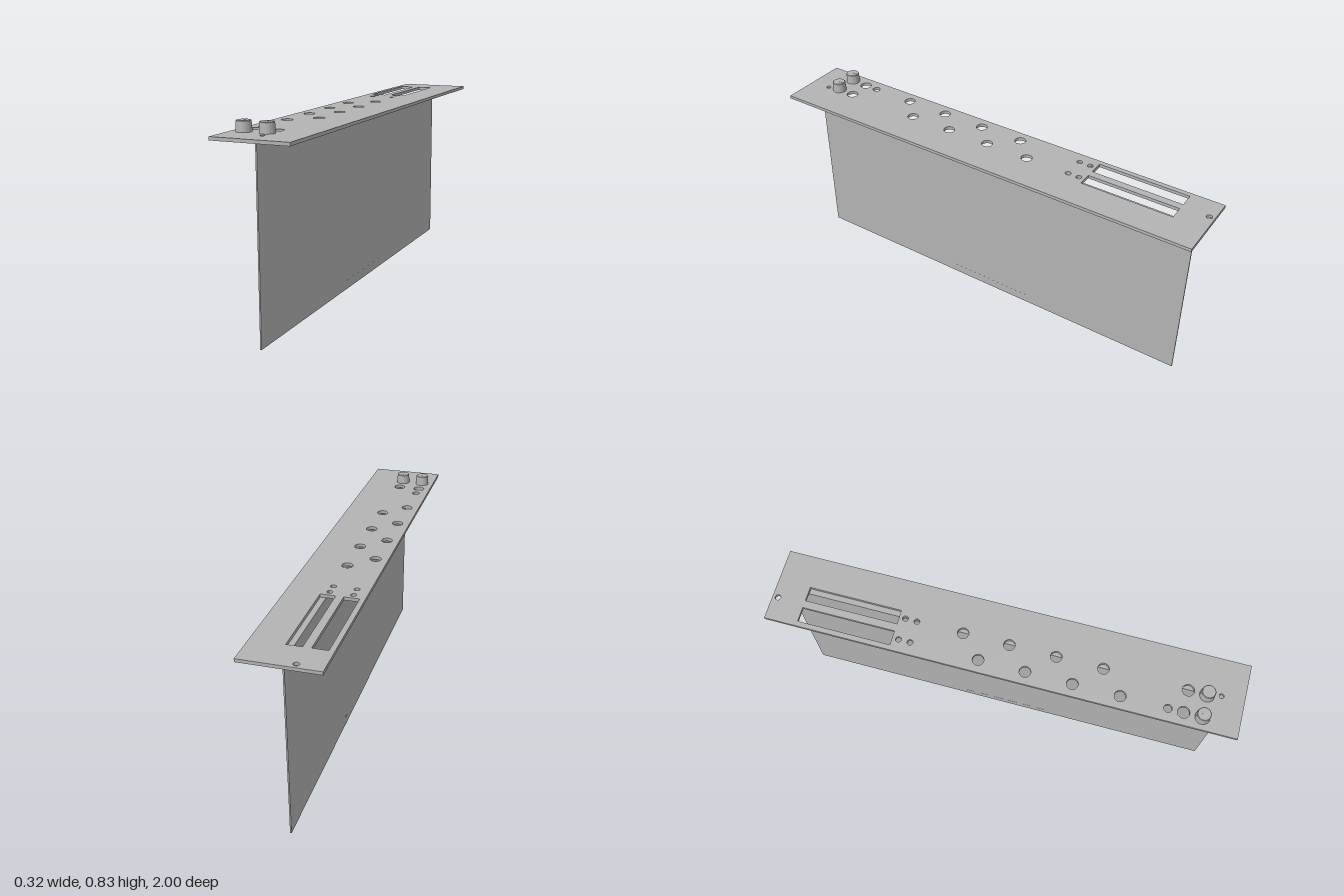
import * as THREE from 'three';
import { toCreasedNormals } from 'three/addons/utils/BufferGeometryUtils.js';

export function createModel() {
  const model = new THREE.Group();
  model.name = 'panelModule';
  const grey = new THREE.MeshStandardMaterial({ color: 0xb3b3b3 });
  grey.name = 'plain grey';

  const add = (name, geometry, x = 0, y = 0, z = 0) => {
    const mesh = new THREE.Mesh(geometry, grey);
    mesh.name = name;
    mesh.position.set(x, y, z);
    model.add(mesh);
    return mesh;
  };
  // Box given by its lower and upper corners
  const addBox = (name, [x0, y0, z0], [x1, y1, z1]) =>
    add(name, new THREE.BoxGeometry(x1 - x0, y1 - y0, z1 - z0),
      (x0 + x1) / 2, (y0 + y1) / 2, (z0 + z1) / 2);

  const rectangle = (path, x0, z0, x1, z1) =>
    path.moveTo(x0, z0).lineTo(x1, z0).lineTo(x1, z1).lineTo(x0, z1).closePath();

  const plateTop = 0.791, plateBottom = 0.777;
  const columns = [-0.107, -0.01];

  // Faceplate outline, drawn in x and z
  const plate = new THREE.Shape();
  rectangle(plate, -0.161, -1, 0.161, 1);
  const drill = (x, z, r) => {
    const hole = new THREE.Path();
    hole.absarc(x, z, r, 0, Math.PI * 2, true);
    plate.holes.push(hole);
  };

  // Slider slots with two small lamp holes in front of each
  for (const [x0, x1] of [[-0.139, -0.075], [-0.042, 0.021]]) {
    const slot = new THREE.Path();
    rectangle(slot, x0, -0.86, x1, -0.457);
    plate.holes.push(slot);
  }
  for (const x of columns) {
    for (const z of [-0.43, -0.38]) drill(x, z, 0.012);
    drill(x, 0.77, 0.025);
  }
  // Staggered rows of socket holes
  for (let i = 0; i < 4; i++) {
    drill(columns[0], -0.088 + i * 0.199, 0.024);
    drill(columns[1], -0.18 + i * 0.199, 0.024);
  }
  drill(columns[0], 0.706, 0.017);
  // Mounting holes
  drill(-0.058, -0.976, 0.012);
  drill(0.001, 0.905, 0.01);

  const plateGeometry = new THREE.ExtrudeGeometry(plate, {
    depth: plateTop - plateBottom, bevelEnabled: false, curveSegments: 24,
  });
  plateGeometry.rotateX(Math.PI / 2);
  add('faceplate', toCreasedNormals(plateGeometry, 0.6), 0, plateTop, 0);

  // Upright board, its top flange and its edge connector
  addBox('board', [-0.003, 0, -0.95], [0.003, plateBottom, 0.95]);
  addBox('flange', [0.003, 0.77, -0.95], [0.059, plateBottom, 0.95]);
  addBox('edgeConnector', [-0.0034, 0, -0.205], [0.0034, 0.04, 0.205]);

  // Tapered knobs with a pointer line on top
  const knobProfile = [[0, 0], [0.031, 0], [0.0285, 0.041], [0.0265, 0.043], [0, 0.043]]
    .map(([x, y]) => new THREE.Vector2(x, y));
  const knobGeometry = toCreasedNormals(new THREE.LatheGeometry(knobProfile, 40), 0.5);
  for (const x of columns) {
    add('knob', knobGeometry, x, plateTop, 0.847);
    addBox('knobPointer', [x - 0.0015, plateTop + 0.042, 0.822],
      [x + 0.0015, plateTop + 0.044, 0.847]);
  }

  return model;
}
